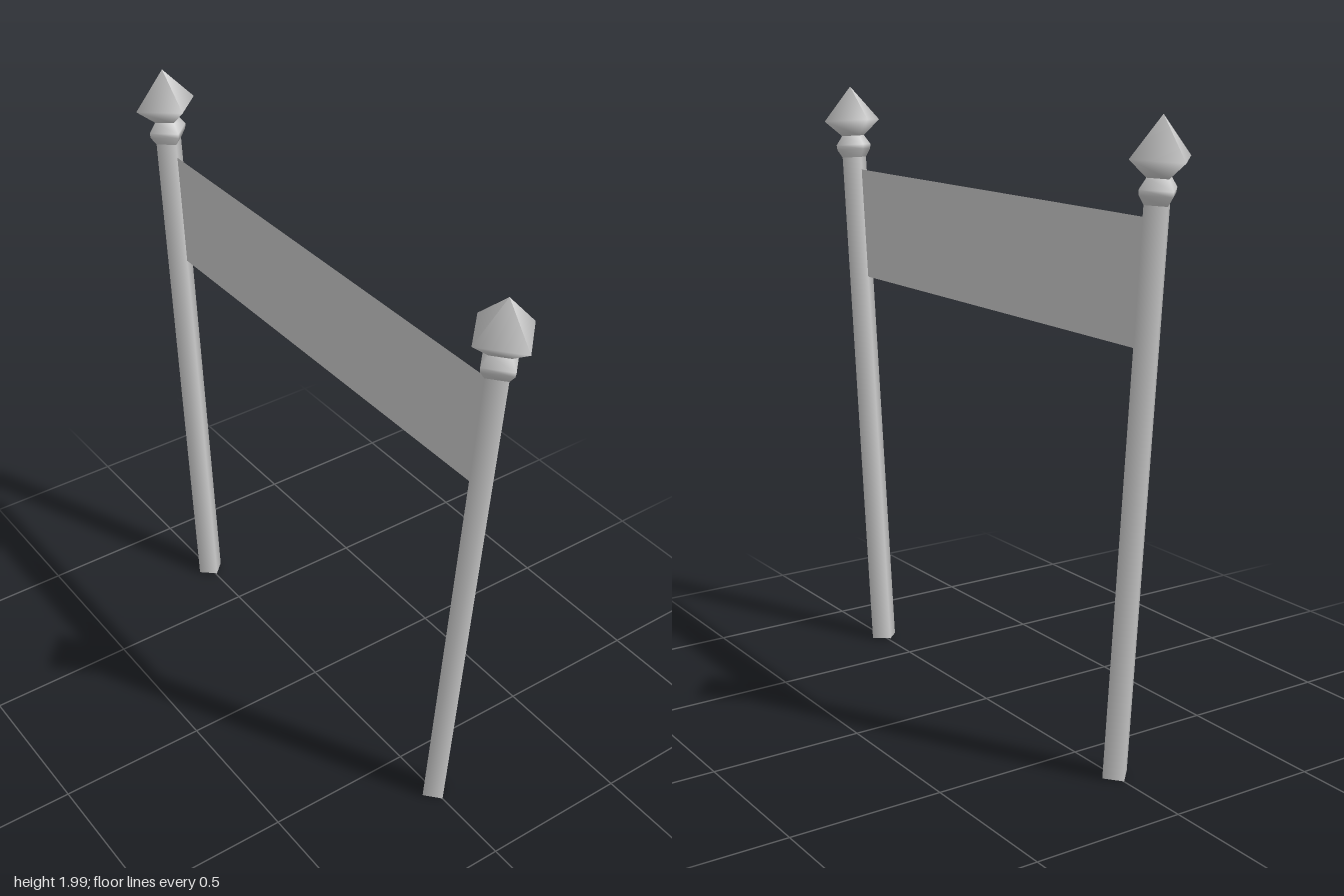
import * as THREE from 'three';

const material = new THREE.MeshStandardMaterial({ color: 0xcccccc, side: THREE.DoubleSide });
const SHAFT = 1.752;

// Where each leaning post stands, and its lean per unit of height
const posts = {
  left: { foot: 0.682, slope: 0.09 },
  right: { foot: -0.701, slope: -0.078 },
};
const axisX = (post, y) => post.foot + post.slope * (y - 0.01);

function lathe(name, profile) {
  const points = profile.map(([r, y]) => new THREE.Vector2(r, y));
  const mesh = new THREE.Mesh(new THREE.LatheGeometry(points, 4), material);
  mesh.name = name;
  return mesh;
}

// Four-sided post with a collar and a pointed finial, leaning outwards
function makePost(side, { foot, slope }) {
  const post = new THREE.Group();
  post.name = side + 'Post';

  const shaft = new THREE.Mesh(new THREE.CylinderGeometry(0.047, 0.047, SHAFT, 4), material);
  shaft.name = 'shaft';
  shaft.position.y = SHAFT / 2;

  const collar = lathe('collar', [
    [0.046, SHAFT - 0.002], [0.066, 1.779], [0.068, 1.795], [0.044, 1.826],
  ]);
  const finial = lathe('finial', [[0.044, 1.826], [0.109, 1.879], [0, 1.996]]);

  post.add(shaft, collar, finial);
  post.position.set(foot, 0.01, 0);
  post.rotation.z = -Math.atan(slope);
  return post;
}

// Flat banner stretched between the two post axes
function makeBanner(bottom, top) {
  const shape = new THREE.Shape([
    new THREE.Vector2(axisX(posts.right, bottom), bottom),
    new THREE.Vector2(axisX(posts.left, bottom), bottom),
    new THREE.Vector2(axisX(posts.left, top), top),
    new THREE.Vector2(axisX(posts.right, top), top),
  ]);
  const banner = new THREE.Mesh(new THREE.ShapeGeometry(shape), material);
  banner.name = 'banner';
  return banner;
}

export function createModel() {
  const model = new THREE.Group();
  model.name = 'bannerGate';
  for (const side of Object.keys(posts)) model.add(makePost(side, posts[side]));
  model.add(makeBanner(1.34, 1.715));
  return model;
}
